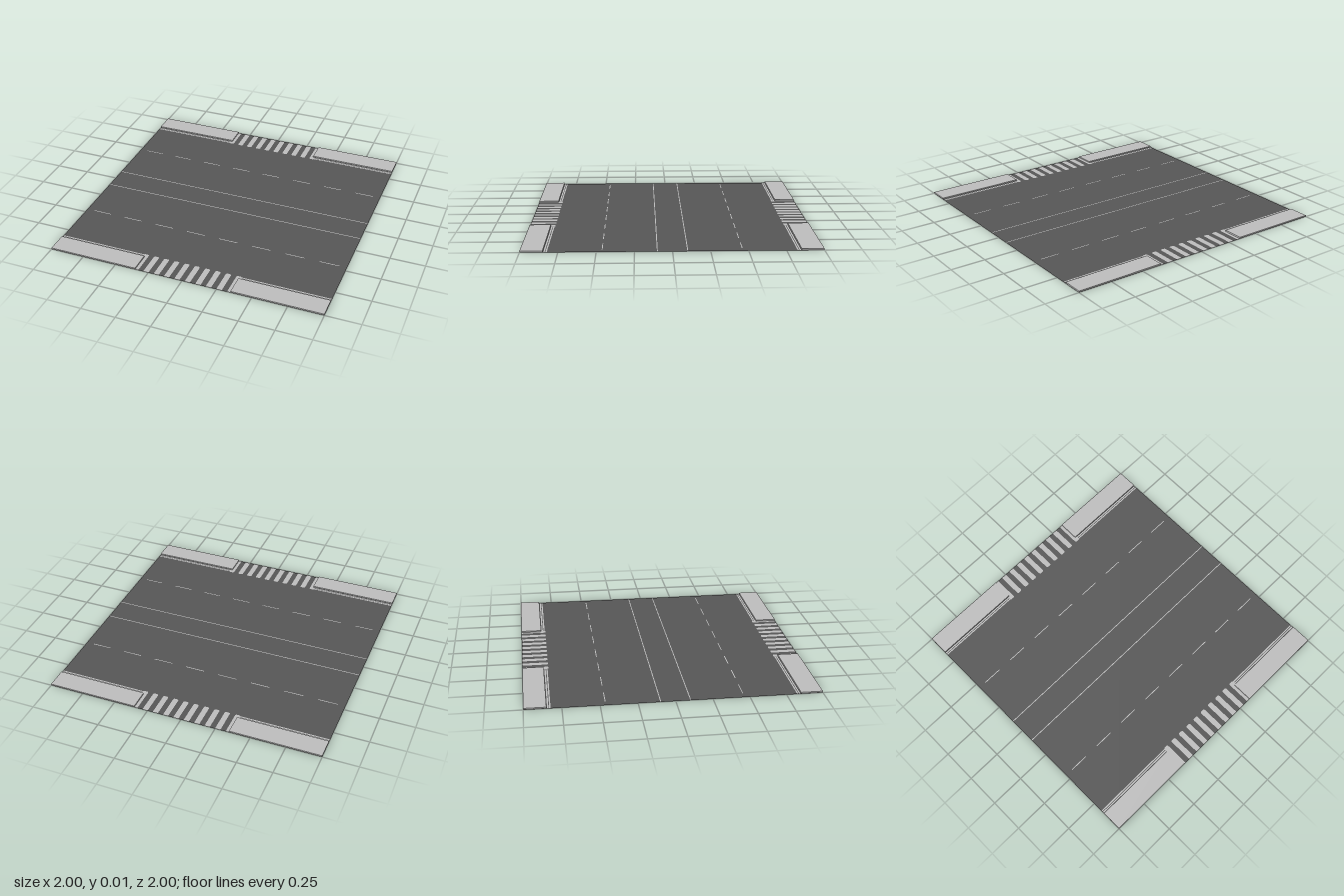
import * as THREE from 'three';

export function createModel() {
  const model = new THREE.Group();
  const asphalt = new THREE.MeshStandardMaterial({ color: 0x565656, side: THREE.DoubleSide });
  asphalt.name = 'asphalt';
  const paint = new THREE.MeshStandardMaterial({ color: 0xbcbcbc, side: THREE.DoubleSide });
  paint.name = 'pale concrete and paint';

  const add = (name, geometry, material, x, y, z) => {
    const mesh = new THREE.Mesh(geometry, material);
    mesh.name = name;
    mesh.position.set(x, y, z);
    model.add(mesh);
    return mesh;
  };
  // Flat painted rectangle just above the road
  const marking = (name, width, depth, x, z) =>
    add(name, new THREE.PlaneGeometry(width, depth).rotateX(-Math.PI / 2), paint, x, 0.001, z);

  // Road surface
  add('road', new THREE.PlaneGeometry(2, 2).rotateX(-Math.PI / 2), asphalt, 0, 0, 0);

  // Crossing bar: square at the outer edge, rounded at the road end
  const barWidth = 0.0384, r = 0.012, h = barWidth / 2;
  const bar = new THREE.Shape();
  bar.moveTo(-h, 0);
  bar.lineTo(h, 0);
  bar.lineTo(h, 0.183 - r);
  bar.quadraticCurveTo(h, 0.183, h - r, 0.183);
  bar.lineTo(-h + r, 0.183);
  bar.quadraticCurveTo(-h, 0.183, -h, 0.183 - r);
  const barGeometry = new THREE.ShapeGeometry(bar, 4).rotateX(-Math.PI / 2);

  for (const side of [-1, 1]) {
    // Centre line and lane dashes
    marking('centreLine', 2, 0.006, 0, side * 0.1);
    for (let i = 0; i < 8; i++) {
      marking('laneDash', 0.14, 0.006, -0.875 + i * 0.25, side * 0.463);
    }

    // Crossing bars, the outermost meeting the pavements
    for (let i = 0; i < 10; i++) {
      const mesh = add('crossingBar', barGeometry, paint, (i - 4.5) * barWidth * 2, 0.001, side);
      if (side < 0) mesh.rotation.y = Math.PI;
    }

    // Raised pavements with a double line along each kerb
    for (const end of [-1, 1]) {
      add('pavement', new THREE.BoxGeometry(0.65, 0.01, 0.15), paint, end * 0.675, 0.006, side * 0.925);
      marking('kerbLineOuter', 0.655, 0.009, end * 0.6725, side * 0.841);
      marking('kerbLineInner', 0.665, 0.009, end * 0.6675, side * 0.827);
    }
  }
  return model;
}
